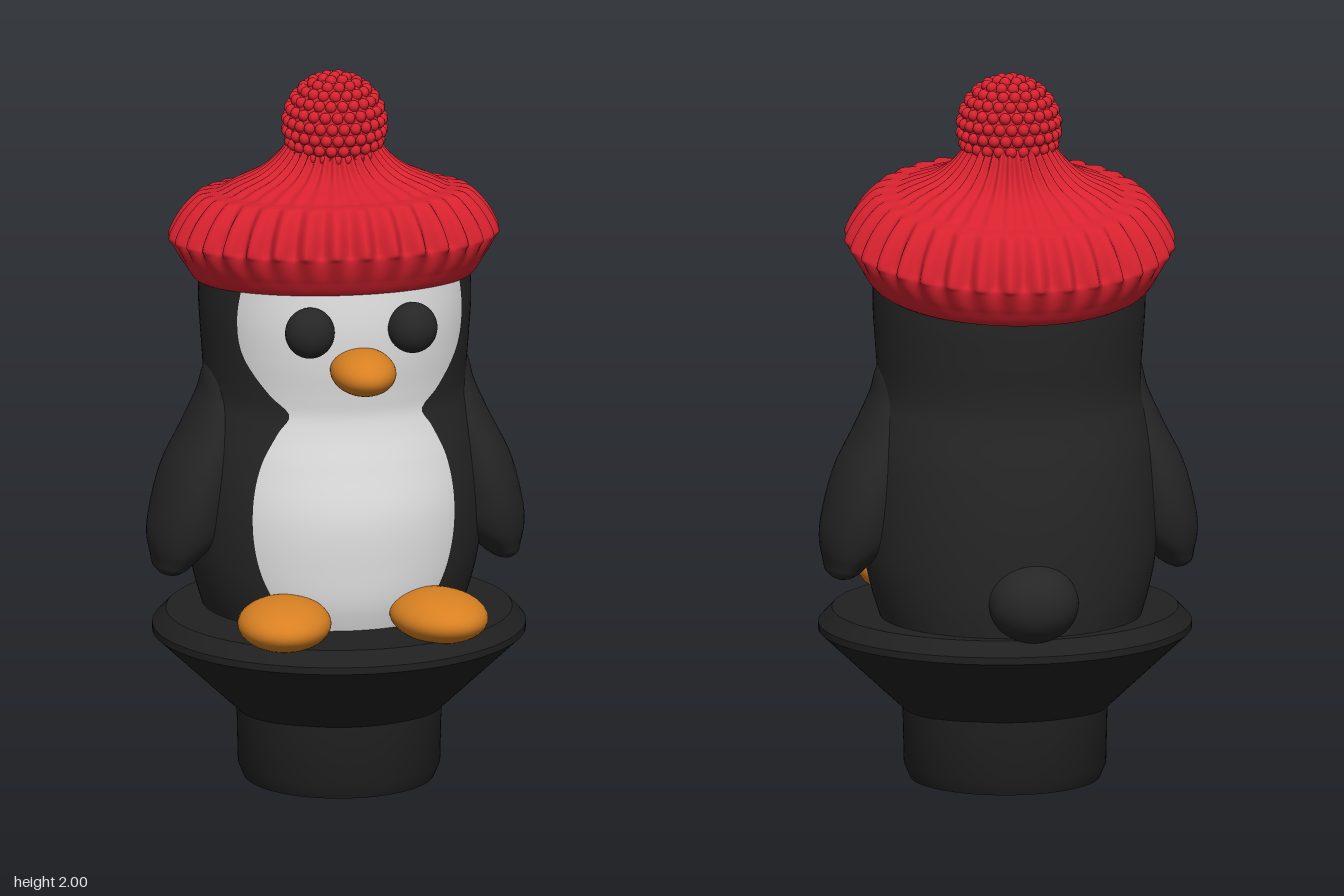
import * as THREE from 'three';
import { mergeGeometries, toCreasedNormals } from 'three/addons/utils/BufferGeometryUtils.js';
import { ParametricGeometry } from 'three/addons/geometries/ParametricGeometry.js';

const material = (name, color) => {
  const m = new THREE.MeshStandardMaterial({ color });
  m.name = name;
  return m;
};

// Smooth interpolation of table rows; the first column is the position.
function table(rows) {
  const curve = new THREE.CubicInterpolant(
    rows.map((r) => r[0]), rows.flatMap((r) => r.slice(1)), rows[0].length - 1);
  const first = rows[0][0], span = rows[rows.length - 1][0] - first;
  return (v) => {
    const y = first + span * THREE.MathUtils.clamp(v, 0, 1);
    return [y, ...curve.evaluate(y)];
  };
}

export function createModel() {
  const group = new THREE.Group();
  const black = material('black', 0x262626);
  const baseBlack = material('base black', 0x202020);
  const white = material('white', 0xf0f0f0);
  const orange = material('orange', 0xd88022);
  const red = material('red', 0xd8222f);

  const add = (name, geometry, mat, x = 0, y = 0, z = 0) => {
    const mesh = new THREE.Mesh(geometry, mat);
    mesh.name = name;
    mesh.position.set(x, y, z);
    group.add(mesh);
    return mesh;
  };
  const ellipsoid = (name, mat, [x, y, z], [rx, ry, rz]) =>
    add(name, new THREE.SphereGeometry(1, 40, 28).scale(rx, ry, rz), mat, x, y, z);
  const lathe = (points) => toCreasedNormals(
    new THREE.LatheGeometry(points.map((p) => new THREE.Vector2(...p)), 96), 0.4);

  // Stand: round stem and flared plate
  add('standStem', lathe([[0, 0], [0.263, 0], [0.28, 0.04], [0.284, 0.21]]), baseBlack, 0, 0, 0.03);
  add('standPlate', lathe([[0, 0.2], [0.284, 0.2], [0.518, 0.42], [0.518, 0.44], [0.48, 0.48], [0, 0.48]])
    .scale(1, 1, 0.955), baseBlack, 0, 0, 0.03);

  // Body: height, half width, half depth, centre z, half width of the white front
  const body = table([
    [0.44, 0.35, 0.335, -0.06, 0.15],
    [0.55, 0.385, 0.36, -0.05, 0.22],
    [0.65, 0.405, 0.37, -0.045, 0.265],
    [0.8, 0.41, 0.375, -0.04, 0.285],
    [0.95, 0.4, 0.36, -0.04, 0.262],
    [1.05, 0.38, 0.345, -0.037, 0.215],
    [1.1, 0.368, 0.341, -0.035, 0.187],
    [1.15, 0.366, 0.345, -0.032, 0.235],
    [1.25, 0.372, 0.36, -0.03, 0.3],
    [1.35, 0.378, 0.37, -0.03, 0.317],
    [1.5, 0.375, 0.37, -0.03, 0.3],
  ]);
  const bodyPart = (isFront, slices) => new ParametricGeometry((u, v, p) => {
    const [y, rx, rz, cz, w] = body(v);
    const edge = Math.asin(w / rx);
    const a = isFront ? edge * (2 * u - 1) : edge + (2 * Math.PI - 2 * edge) * u;
    p.set(rx * Math.sin(a), y, cz + rz * Math.cos(a));
  }, slices, 80);
  add('bodyBack', bodyPart(false, 72), black);
  add('faceAndBelly', bodyPart(true, 32), white);
  ellipsoid('tail', black, [0, 0.578, -0.4], [0.125, 0.11, 0.12]);

  // Wings: height, centre x, half thickness, half depth
  const wing = table([
    [0.585, 0.47, 0.004, 0.015],
    [0.6, 0.47, 0.035, 0.075],
    [0.64, 0.455, 0.065, 0.118],
    [0.7, 0.43, 0.1, 0.15],
    [0.8, 0.41, 0.105, 0.17],
    [0.9, 0.385, 0.1, 0.168],
    [1.0, 0.35, 0.085, 0.15],
    [1.1, 0.325, 0.065, 0.12],
    [1.2, 0.31, 0.045, 0.07],
    [1.24, 0.3, 0.005, 0.01],
  ]);
  for (const [side, s] of [['left', 1], ['right', -1]]) {
    add(side + 'Wing', new ParametricGeometry((u, v, p) => {
      const [y, cx, hx, hz] = wing(v);
      const a = u * 2 * Math.PI;
      p.set(s * cx + hx * Math.sin(a), y, -0.02 + hz * Math.cos(a));
    }, 40, 50), black);
    ellipsoid(side + 'Eye', black, [s * 0.145, 1.355, 0.335], [0.069, 0.071, 0.066]);
    ellipsoid(side + 'Foot', orange, [s * 0.218, 0.527, 0.34], [0.13, 0.07, 0.172]).rotation.y = s * 0.2;
  }
  ellipsoid('beak', orange, [0, 1.243, 0.362], [0.09, 0.063, 0.127]);

  // Knitted hat: step, radius, height, pleat depth
  const profile = [
    [0.3, 0, 0], [0.375, 0, 0], [0.415, 0.05, 0], [0.44, 0.105, 0.008],
    [0.44, 0.13, 0.019], [0.413, 0.19, 0.016], [0.372, 0.24, 0.012], [0.345, 0.25, 0.008],
    [0.31, 0.255, 0.008], [0.27, 0.275, 0.008], [0.2, 0.305, 0.01], [0.15, 0.345, 0.01], [0.11, 0.4, 0.007],
  ];
  const hat = table(profile.map((row, i) => [i, ...row]));
  const pleats = 34;
  add('hat', new ParametricGeometry((u, v, p) => {
    const [, radius, h, depth] = hat(v);
    const a = u * 2 * Math.PI;
    const r = radius + depth * Math.cos(pleats * a);
    // The brim is tilted up at the front, fading out toward the crown
    const tilt = 0.112 * (1 - THREE.MathUtils.clamp((h - 0.25) / 0.12, 0, 1));
    p.set(r * Math.sin(a), 1.41 + h + tilt * r * Math.cos(a), -0.043 + r * Math.cos(a));
  }, pleats * 8, 60), red);

  // Pompom: ball covered with staggered rows of knots
  const knots = [new THREE.SphereGeometry(0.134, 40, 28)];
  const rows = 13;
  for (let i = 0; i <= rows; i++) {
    const polar = (i / rows) * Math.PI;
    const count = Math.max(1, Math.round(25 * Math.sin(polar)));
    for (let j = 0; j < count; j++) {
      const a = ((j + (i % 2) / 2) / count) * 2 * Math.PI;
      const at = new THREE.Vector3().setFromSphericalCoords(0.133, polar, a);
      knots.push(new THREE.SphereGeometry(0.0165, 10, 8).translate(at.x, at.y, at.z));
    }
  }
  add('pompom', mergeGeometries(knots), red, 0, 1.85, -0.03);

  return group;
}
